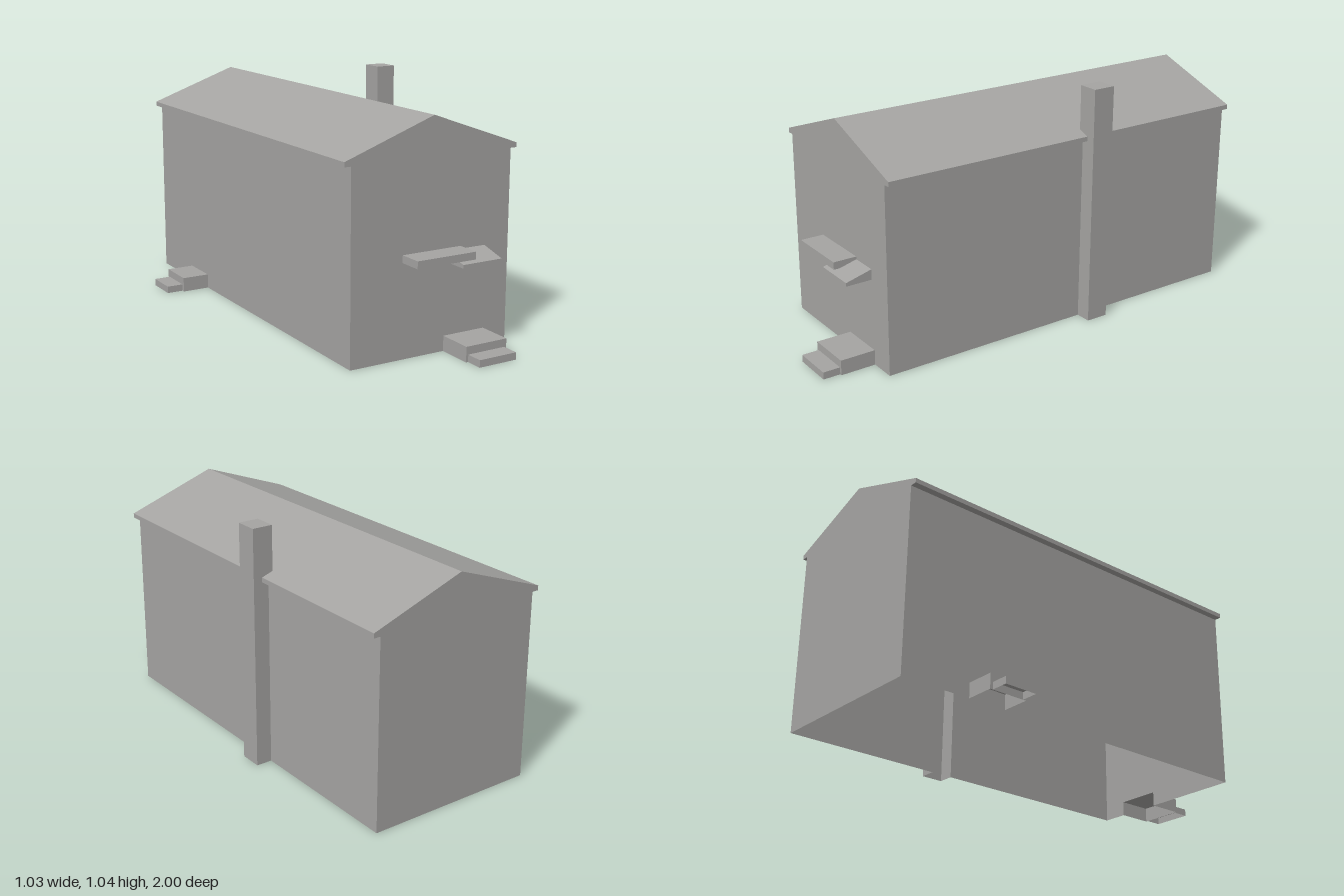
import * as THREE from 'three';

// Box face order used by BoxGeometry
const SIDES = ['right', 'left', 'top', 'bottom', 'front', 'back'];

// Box given by its limits, with the named sides left open
function openBox([x0, x1], [y0, y1], [z0, z1], open = []) {
  const g = new THREE.BoxGeometry(x1 - x0, y1 - y0, z1 - z0);
  g.translate((x0 + x1) / 2, (y0 + y1) / 2, (z0 + z1) / 2);
  const all = Array.from(g.index.array);
  g.setIndex(all.filter((_, i) => !open.includes(SIDES[Math.floor(i / 6)])));
  g.clearGroups();
  return g;
}

const shapeOf = (pts) => new THREE.Shape(pts.map(([x, y]) => new THREE.Vector2(x, y)));

// Open sheet that carries a profile in x, y from back to front
function sheet(profile, zBack, zFront) {
  const pos = [];
  for (let i = 0; i + 1 < profile.length; i++) {
    const [a, b] = [profile[i], profile[i + 1]];
    pos.push(...a, zBack, ...a, zFront, ...b, zFront);
    pos.push(...a, zBack, ...b, zFront, ...b, zBack);
  }
  const g = new THREE.BufferGeometry();
  g.setAttribute('position', new THREE.Float32BufferAttribute(pos, 3));
  g.computeVertexNormals();
  return g;
}

export function createModel() {
  const group = new THREE.Group();
  const grey = new THREE.MeshStandardMaterial({ color: 0xa5a4a2, side: THREE.DoubleSide });
  grey.name = 'warm grey';
  const add = (name, geometry) => {
    const mesh = new THREE.Mesh(geometry, grey);
    mesh.name = name;
    group.add(mesh);
    return mesh;
  };

  const L = -0.315, R = 0.445, EAVE = 0.81, BACK = -1, FRONT = 0.77;

  // Roof with soffits and fascias
  const roof = [[L, EAVE], [-0.345, EAVE], [-0.345, 0.83], [0.065, 0.976],
    [0.475, 0.83], [0.475, EAVE], [R, EAVE]];
  add('roof', sheet(roof, BACK, FRONT));

  // Gable walls; the front one opens behind the steps and the awnings
  const back = new THREE.ShapeGeometry(shapeOf([[L, 0], ...roof, [R, 0]]));
  back.rotateY(Math.PI);
  back.scale(-1, 1, 1);
  // scaling mirrors the faces, so turn the corners round again
  back.index.array.reverse();
  back.translate(0, 0, BACK);
  add('backWall', back);

  const front = shapeOf([[L, 0], ...roof, [R, 0],
    [0.33, 0], [0.33, 0.065], [0.13, 0.065], [0.13, 0]]);
  front.holes.push(shapeOf([[-0.075, 0.4], [0.135, 0.4], [0.135, 0.375], [0.325, 0.375],
    [0.325, 0.42], [0.205, 0.42], [0.205, 0.432], [-0.075, 0.432]]));
  add('frontWall', new THREE.ShapeGeometry(front).translate(0, 0, FRONT));

  // Long walls, open behind the side steps and the chimney
  const rightSide = new THREE.ShapeGeometry(shapeOf([[BACK, 0], [-0.685, 0], [-0.685, 0.065],
    [-0.51, 0.065], [-0.51, 0], [FRONT, 0], [FRONT, EAVE], [BACK, EAVE]]));
  add('rightWall', rightSide.rotateY(-Math.PI / 2).translate(L, 0, 0));
  const leftSide = new THREE.ShapeGeometry(shapeOf([[-FRONT, 0], [0.19, 0], [0.19, 0.8],
    [0.29, 0.8], [0.29, 0], [-BACK, 0], [-BACK, EAVE], [-FRONT, EAVE]]));
  add('leftWall', leftSide.rotateY(Math.PI / 2).translate(R, 0, 0));

  // Chimney: shaft against the wall and stack through the eave
  const chimneyZ = [-0.29, -0.19];
  add('chimneyShaft', openBox([R, 0.515], [0, 0.8], chimneyZ, ['left', 'top', 'bottom']));
  add('chimneyStack', openBox([0.425, 0.515], [0.8, 1.04], chimneyZ, ['bottom']));

  // Front steps
  add('frontUpperStep', openBox([0.13, 0.33], [0, 0.065], [FRONT, 0.925], ['back', 'bottom']));
  add('frontLowerStep', openBox([0.14, 0.32], [0, 0.031], [0.925, 1], ['back', 'bottom']));

  // Side steps
  add('sideUpperStep', openBox([-0.44, L], [0, 0.065], [-0.685, -0.51], ['right', 'bottom']));
  add('sideLowerStep', openBox([-0.515, -0.44], [0, 0.031], [-0.672, -0.525], ['right', 'bottom']));

  // Flat awning and the sloping one beside it
  add('flatAwning', openBox([-0.075, 0.205], [0.4, 0.432], [FRONT, 0.873], ['back']));
  const slope = openBox([0.135, 0.325], [0.375, 0.42], [FRONT, 0.885], ['back']);
  const p = slope.attributes.position;
  for (let i = 0; i < p.count; i++) {
    if (p.getZ(i) > 0.8 && p.getY(i) > 0.4) p.setY(i, 0.39);
  }
  slope.computeVertexNormals();
  add('slopingAwning', slope);

  return group;
}
